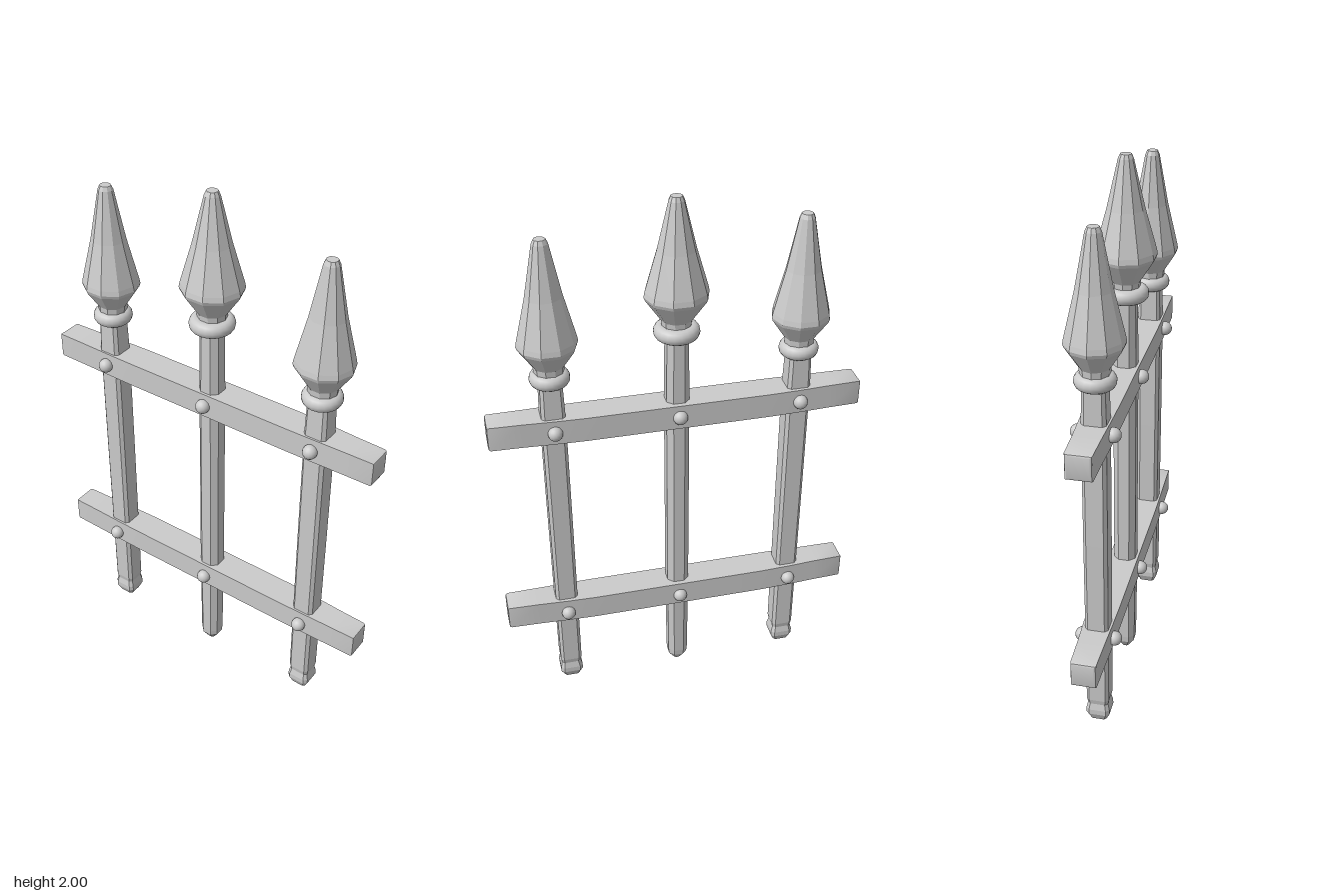
import * as THREE from 'three';
import { toCreasedNormals } from 'three/addons/utils/BufferGeometryUtils.js';

const flat = new THREE.MeshStandardMaterial({ color: 0xcccccc, flatShading: true });
const smooth = new THREE.MeshStandardMaterial({ color: 0xcccccc });

function add(parent, name, geometry, material, x = 0, y = 0, z = 0) {
  const mesh = new THREE.Mesh(geometry, material);
  mesh.name = name;
  mesh.position.set(x, y, z);
  parent.add(mesh);
  return mesh;
}

const lathe = (points, sides, start) => new THREE.LatheGeometry(
  points.map(([r, y]) => new THREE.Vector2(r, y)), sides, start);

// Eight-sided bar; spread > 1 widens the main faces towards a chamfered square
function barGeometry(profile, spread) {
  const k = 1 / Math.cos(Math.PI / 8);
  const geo = lathe(profile.map(([r, y]) => [r * k, y]), 8, Math.PI / 8);
  const p = geo.attributes.position;
  for (let i = 0; i < p.count; i++) {
    const x = p.getX(i), z = p.getZ(i);
    if (Math.abs(x) < Math.abs(z)) p.setX(i, x * spread);
    else p.setZ(i, z * spread);
  }
  return geo;
}

// Rail with bevelled edges, a little thicker through the middle than at its ends
function railGeometry(length, height) {
  const depth = 0.09, b = 0.008;
  const w = depth / 2 - b, h = height / 2 - b;
  const shape = new THREE.Shape([[-w, -h], [w, -h], [w, h], [-w, h]]
    .map(([x, y]) => new THREE.Vector2(x, y)));
  const geo = new THREE.ExtrudeGeometry(shape, {
    depth: length - 2 * b, steps: 12, bevelSize: b, bevelThickness: b, bevelSegments: 2,
  });
  geo.translate(0, 0, b - length / 2).rotateY(Math.PI / 2);
  const p = geo.attributes.position;
  for (let i = 0; i < p.count; i++) {
    const t = THREE.MathUtils.smoothstep(0.67 - Math.abs(p.getX(i)), 0, 0.35);
    p.setZ(i, p.getZ(i) * (1 + 0.22 * t) - 0.004 * t);
  }
  return toCreasedNormals(geo, 0.5);
}

// Ten-sided spear point with its flared neck and rounded collar
function addSpear(parent, y, tip, radius, neckY, collarY, collarR) {
  const head = add(parent, 'spearHead', lathe([
    [0, collarY], [0.05, collarY], [0.054, neckY], [radius * 0.96, y - 0.012],
    [radius, y], [radius * 0.97, y + 0.018], [radius * 0.6, y + (tip - y) * 0.47],
    [0.027, tip - 0.015], [0.02, tip], [0, tip],
  ], 10, Math.PI / 2), flat);
  head.scale.z = 0.96;
  const collar = [];
  for (let i = 0; i <= 8; i++) {
    const a = -Math.PI / 2 + Math.PI * i / 8;
    collar.push([collarR - 0.024 + 0.024 * Math.cos(a), collarY + 0.026 * Math.sin(a)]);
  }
  add(parent, 'collar', lathe([[0, collarY - 0.026], ...collar, [0, collarY + 0.026]], 20, 0), smooth);
}

export function createModel() {
  const model = new THREE.Group();
  model.name = 'fencePanel';

  // Outer pickets with a small knob at the foot
  for (const side of [-1, 1]) {
    const picket = new THREE.Group();
    picket.name = side < 0 ? 'rightPicket' : 'leftPicket';
    picket.position.x = side * 0.438;
    add(picket, 'post', barGeometry([
      [0, 0.03], [0.03, 0.03], [0.043, 0.06], [0.043, 0.08], [0.037, 0.105],
      [0.041, 0.125], [0.042, 0.8], [0.042, 1.26], [0.038, 1.42], [0, 1.42],
    ], 1.75), flat);
    addSpear(picket, 1.53, 1.9, 0.104, 1.45, 1.403, 0.07);
    model.add(picket);
  }

  // Taller middle picket with a pointed foot
  const middle = new THREE.Group();
  middle.name = 'middlePicket';
  add(middle, 'post', barGeometry([
    [0, 0], [0.013, 0.008], [0.036, 0.045], [0.038, 0.07], [0.041, 0.4],
    [0.041, 1.25], [0.038, 1.53], [0, 1.53],
  ], 1.2), flat);
  addSpear(middle, 1.66, 2, 0.112, 1.57, 1.525, 0.08);
  model.add(middle);

  // Cross rails
  add(model, 'upperRail', railGeometry(1.335, 0.092), smooth, 0, 1.213);
  add(model, 'lowerRail', railGeometry(1.33, 0.096), smooth, 0, 0.398);

  // Domed rivets on both faces
  const rivet = new THREE.SphereGeometry(0.026, 16, 10);
  for (const y of [1.213, 0.392])
    for (const x of [-0.438, 0, 0.438])
      for (const z of [-0.06, 0.058]) add(model, 'rivet', rivet, smooth, x, y, z);

  return model;
}
